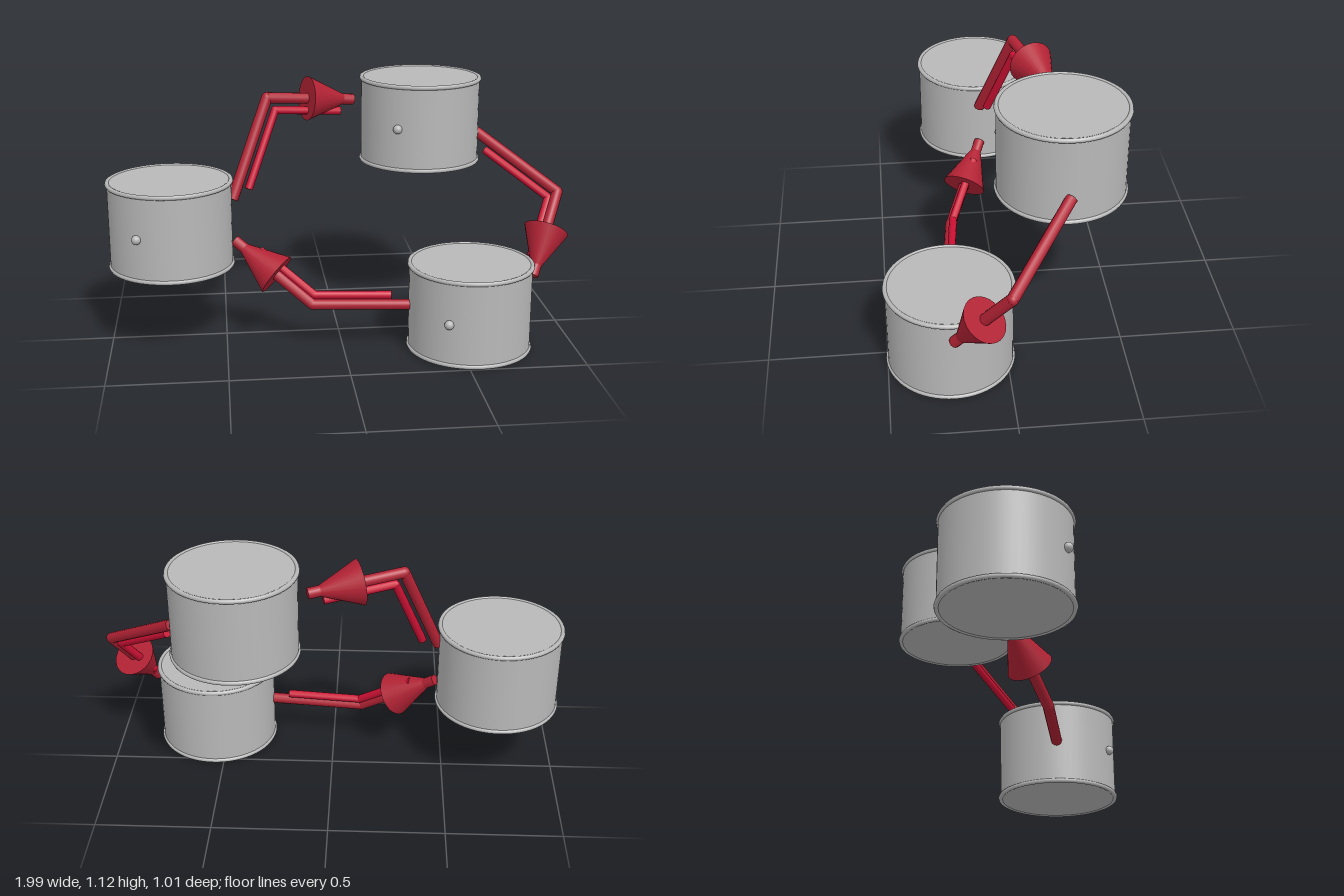
import * as THREE from 'three';

const metal = new THREE.MeshStandardMaterial({ color: 0xb8b8b8 });
metal.name = 'grey metal';
const red = new THREE.MeshStandardMaterial({ color: 0xb22234 });
red.name = 'dark red';
const crimson = new THREE.MeshStandardMaterial({ color: 0xcc1133 });
crimson.name = 'bright crimson';

function add(parent, name, geometry, material, position) {
  const mesh = new THREE.Mesh(geometry, material);
  mesh.name = name;
  if (position) mesh.position.copy(position);
  parent.add(mesh);
  return mesh;
}

// Cylinder or cone running from a to b
function strut(parent, name, a, b, r0, r1, sides, material) {
  const dir = b.clone().sub(a);
  const geo = new THREE.CylinderGeometry(r1, r0, dir.length(), sides);
  const mesh = add(parent, name, geo, material, a.clone().lerp(b, 0.5));
  mesh.quaternion.setFromUnitVectors(new THREE.Vector3(0, 1, 0), dir.normalize());
}

// Closed drum with rolled rims and a small knob on the front left
function drum(name, x, y, z) {
  const g = new THREE.Group();
  g.name = name;
  g.position.set(x, y, z);
  add(g, 'drumBody', new THREE.CylinderGeometry(0.264, 0.264, 0.376, 64), metal);
  for (const s of [-1, 1]) {
    const rim = add(g, s > 0 ? 'topRim' : 'bottomRim',
      new THREE.TorusGeometry(0.262, 0.01, 8, 64), metal, new THREE.Vector3(0, s * 0.183, 0));
    rim.rotation.x = Math.PI / 2;
  }
  add(g, 'knob', new THREE.SphereGeometry(0.02, 16, 12), metal, new THREE.Vector3(-0.135, 0, 0.235));
  return g;
}

// Bent pipe with an arrowhead and a thinner pipe on its inner side
function arrow(name, points, offset, innerEnd) {
  const g = new THREE.Group();
  g.name = name;
  const [a, b, c] = points.map(p => new THREE.Vector3(...p));
  const shift = new THREE.Vector3(...offset);
  strut(g, 'pipeStart', a, b, 0.024, 0.024, 12, red);
  strut(g, 'pipeEnd', b, c, 0.024, 0.024, 12, red);
  add(g, 'pipeElbow', new THREE.SphereGeometry(0.024, 12, 8), red, b);
  strut(g, 'arrowhead', b.clone().lerp(c, 0.46), b.clone().lerp(c, 0.94), 0.097, 0.012, 24, red);

  const ia = a.clone().lerp(b, 0.22).add(shift);
  const ib = b.clone().add(shift);
  const ic = b.clone().lerp(c, innerEnd).add(shift);
  strut(g, 'innerPipeStart', ia, ib, 0.018, 0.018, 10, crimson);
  strut(g, 'innerPipeEnd', ib, ic, 0.018, 0.018, 10, crimson);
  add(g, 'innerElbow', new THREE.SphereGeometry(0.018, 10, 8), crimson, ib);
  return g;
}

export function createModel() {
  const model = new THREE.Group();
  model.name = 'drumCycle';
  model.add(
    drum('rightDrum', -0.728, 0.537, 0.02),
    drum('upperDrum', 0.392, 0.917, -0.235),
    drum('lowerDrum', 0.546, 0.195, 0.235),
    arrow('upperArrow', [[-0.46, 0.63, 0.02], [-0.30, 1.045, -0.115], [0.09, 1.005, -0.24]], [0.035, -0.055, 0], 0.75),
    arrow('leftArrow', [[0.655, 0.845, -0.235], [0.97, 0.625, 0.025], [0.82, 0.31, 0.235]], [-0.04, -0.025, 0], 0.7),
    arrow('lowerArrow', [[0.29, 0.198, 0.228], [-0.13, 0.198, 0.185], [-0.455, 0.445, 0.02]], [0.01, 0.038, -0.012], 0.7)
  );
  return model;
}
